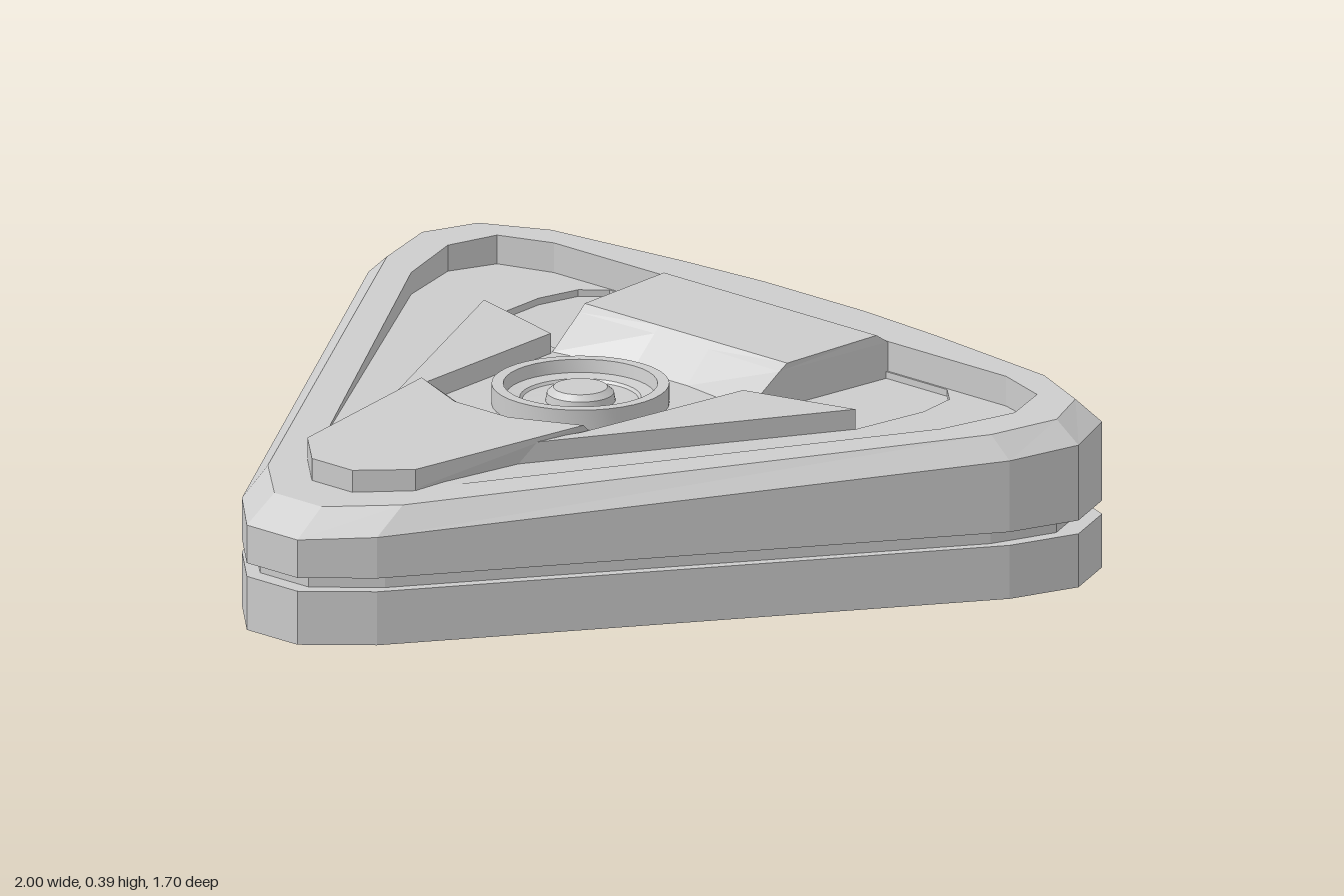
import * as THREE from 'three';
import { toCreasedNormals } from 'three/addons/utils/BufferGeometryUtils.js';

const flat = new THREE.MeshStandardMaterial({ color: 0xcccccc, flatShading: true });
const smooth = new THREE.MeshStandardMaterial({ color: 0xcccccc });
const FLOOR = 0.305;

// Outlines are [x, z] points, counter-clockwise from above
const flip = (pts) => pts.map(([x, z]) => [-x, z]).reverse();
const symmetric = (half) => [...half, ...flip(half)];
const rimY = (z) => 0.29 + (0.765 - z) * 0.055;
const edgeY = (z) => 0.235 + (0.845 - z) * 0.058;

// Lift an outline to a height given as a number or a rule of z
const ring = (pts, y) => pts.map(([x, z]) => [x, typeof y === 'function' ? y(z) : y, z]);

// Skin over a stack of rings, optionally closed at either end
function loft(rings, capStart = false, capEnd = false) {
  const pos = [];
  const n = rings[0].length;
  for (let k = 0; k < rings.length - 1; k++) {
    for (let i = 0; i < n; i++) {
      const j = (i + 1) % n;
      const [a, b, c, d] = [rings[k][i], rings[k][j], rings[k + 1][j], rings[k + 1][i]];
      pos.push(...a, ...b, ...c, ...a, ...c, ...d);
    }
  }
  const cap = (r, up) => {
    const outline = r.map(([x, , z]) => new THREE.Vector2(x, -z));
    for (const [a, b, c] of THREE.ShapeUtils.triangulateShape(outline, [])) {
      pos.push(...r[a], ...r[up ? b : c], ...r[up ? c : b]);
    }
  };
  if (capStart) cap(rings[0], false);
  if (capEnd) cap(rings[rings.length - 1], true);
  const g = new THREE.BufferGeometry();
  g.setAttribute('position', new THREE.Float32BufferAttribute(pos, 3));
  g.computeVertexNormals();
  return g;
}

// Upward-facing sheet with holes, its height following a rule of z
function sheet(pts, holes, y) {
  const vec = (p) => p.map(([x, z]) => new THREE.Vector2(x, -z));
  const shape = new THREE.Shape(vec(pts));
  shape.holes = holes.map((h) => new THREE.Path(vec(h)));
  const g = new THREE.ShapeGeometry(shape).rotateX(-Math.PI / 2);
  const p = g.attributes.position;
  for (let i = 0; i < p.count; i++) p.setY(i, y(p.getZ(i)));
  g.computeVertexNormals();
  return g;
}

export function createModel() {
  const model = new THREE.Group();
  const add = (name, geometry, material = flat) => {
    const mesh = new THREE.Mesh(geometry, material);
    mesh.name = name;
    model.add(mesh);
  };

  const outer = symmetric([[0.075, 0.845], [0.2, 0.73], [0.95, -0.44], [1, -0.6],
    [0.94, -0.735], [0.77, -0.8], [0.4, -0.835], [0.16, -0.85]]);
  const inner = symmetric([[0.07, 0.765], [0.2, 0.65], [0.895, -0.44], [0.94, -0.595],
    [0.885, -0.71], [0.73, -0.775], [0.38, -0.81], [0.15, -0.825]]);
  const recess = symmetric([[0.2, 0.49], [0.785, -0.4], [0.84, -0.57], [0.8, -0.68], [0.67, -0.72]]);
  const groove = outer.map(([x, z]) => [x * 0.96, z * 0.955]);

  // Body with a groove around it and a bevelled, sloping upper edge
  add('body', loft([ring(outer, 0), ring(outer, 0.12), ring(groove, 0.12), ring(groove, 0.15),
    ring(outer, 0.15), ring(outer, edgeY), ring(inner, rimY)], true));
  add('rim', sheet(inner, [recess], rimY));
  add('recessWall', loft([ring(recess, rimY), ring(recess, FLOOR)]));

  // Recess floor with a shallow pocket on each side of the rear console
  const pocketLeft = [[0.25, -0.335], [0.25, -0.715], [0.5, -0.715],
    [0.55, -0.67], [0.57, -0.57], [0.55, -0.38]].reverse();
  const pockets = [pocketLeft, flip(pocketLeft)];
  add('floor', sheet(recess, pockets, () => FLOOR));
  for (const p of pockets) {
    add('sidePocket', loft([ring(p, FLOOR), ring(p, 0.29)]));
    add('pocketFloor', sheet(p, [], () => 0.29));
  }

  // Tapering wings beside the hub
  const wingLeft = [[0.195, 0.3], [0.55, -0.38], [0.285, -0.31], [0.24, 0.14]];
  for (const w of [wingLeft, flip(wingLeft)]) {
    add('wing', loft([ring(w, 0.28), ring(w, 0.35)], true, true));
  }

  // Nose block, ramped down towards the hub
  const noseBase = symmetric([[0.06, 0.66], [0.16, 0.57], [0.23, 0.07], [0.08, 0.12]]);
  const noseTop = symmetric([[0.06, 0.66], [0.16, 0.57], [0.24, 0.135], [0.08, 0.2]]);
  add('nose', loft([ring(noseBase, 0.28), ring(noseBase, FLOOR),
    ring(noseTop, (z) => 0.345 + (0.66 - z) * 0.037)], true, true));

  // Rear console with a front ramp and a bevelled back edge
  const consoleRing = (frontSide, frontMid, back) => symmetric([frontMid, frontSide, back]);
  const consoleBase = consoleRing([0.29, -0.32], [0.08, -0.35], [0.32, -0.72]);
  const consoleMid = consoleRing([0.297, -0.41], [0.08, -0.417], [0.32, -0.72]);
  const consoleTop = consoleRing([0.3, -0.43], [0.08, -0.43], [0.315, -0.69]);
  add('rearConsole', loft([ring(consoleBase, 0.28), ring(consoleBase, FLOOR),
    ring(consoleMid, 0.371), ring(consoleTop, (z) => 0.386 - (z + 0.43) * 0.02)], true, true));

  // Round hub: raised ring, stepped dish and central button
  const profile = [[0.19, 0.3], [0.19, 0.35], [0.165, 0.35], [0.16, 0.322], [0.13, 0.318],
    [0.125, 0.312], [0.075, 0.312], [0.072, 0.33], [0.058, 0.342], [0, 0.342]];
  const hub = new THREE.LatheGeometry(profile.map(([r, y]) => new THREE.Vector2(r, y)), 40);
  add('hub', toCreasedNormals(hub.translate(0, 0, -0.105), 0.4), smooth);

  return model;
}
